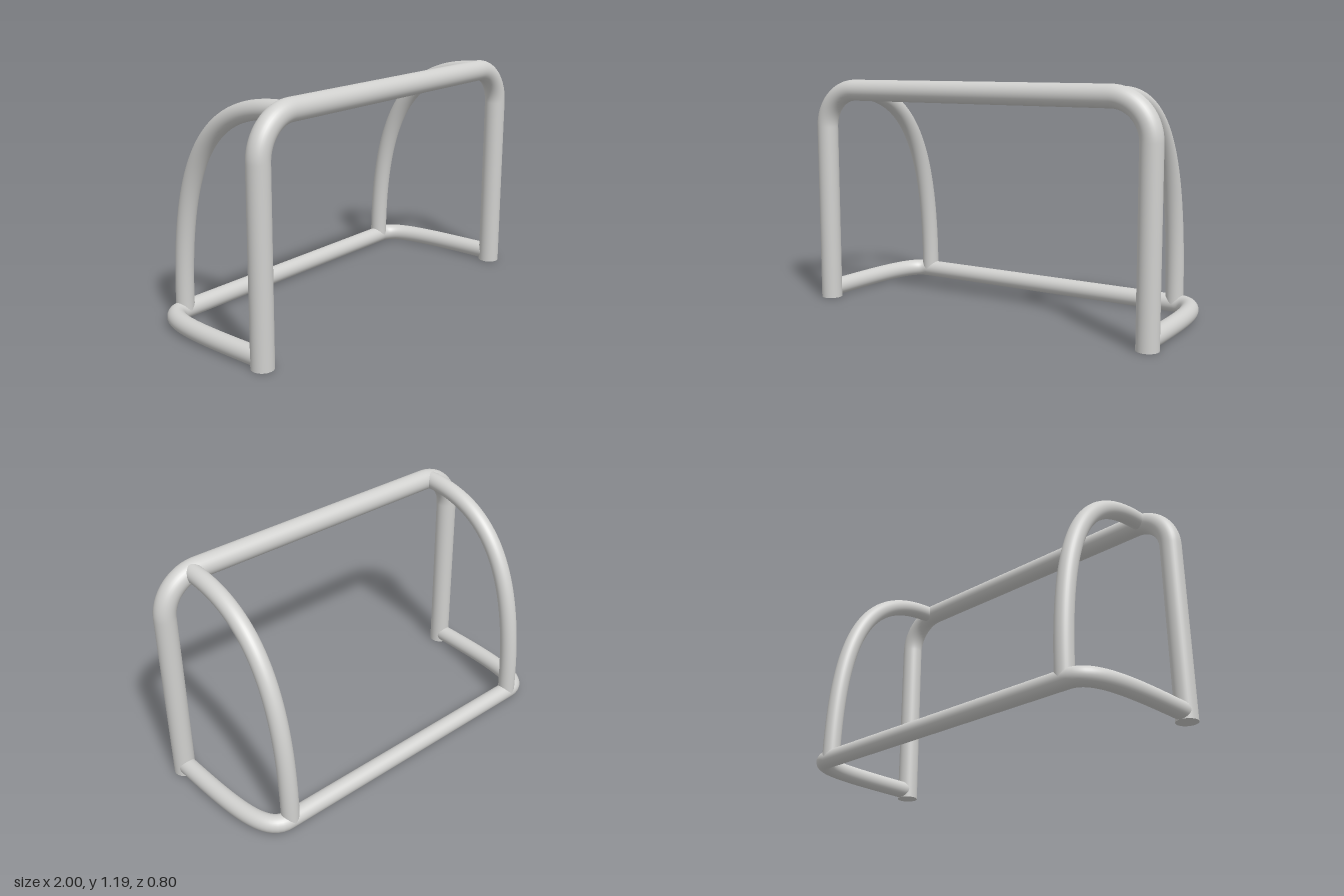
import * as THREE from 'three';

const V = (x, y, z) => new THREE.Vector3(x, y, z);

// Chain of straight and curved pieces: two points make a line, four a Bezier curve
function makePath(pieces) {
  const path = new THREE.CurvePath();
  for (const p of pieces) {
    path.add(p.length === 2 ? new THREE.LineCurve3(...p) : new THREE.CubicBezierCurve3(...p));
  }
  return path;
}

// The same points on the other side, in reverse order
const mirror = (points) => points.map((p) => V(-p.x, p.y, p.z)).reverse();

export function createModel() {
  const model = new THREE.Group();
  const paint = new THREE.MeshStandardMaterial({ color: 0xd0d0ce });
  paint.name = 'light grey paint';

  const add = (name, geometry) => {
    const mesh = new THREE.Mesh(geometry, paint);
    mesh.name = name;
    model.add(mesh);
    return mesh;
  };
  const tube = (name, path, segments, radius) =>
    add(name, new THREE.TubeGeometry(path, segments, radius, 32, false));

  const postX = 0.945, frontZ = 0.342, backZ = -0.352;
  const topY = 1.135, baseY = 0.046, postR = 0.055;

  // Front frame: two posts and the crossbar, bent from one pipe
  const bend = 0.2, k = bend * 0.448;
  const post = [V(-postX, 0, frontZ), V(-postX, topY - bend, frontZ)];
  const corner = [
    post[1], V(-postX, topY - k, frontZ),
    V(-postX + k, topY, frontZ), V(-postX + bend, topY, frontZ),
  ];
  const crossbar = [corner[3], V(postX - bend, topY, frontZ)];
  tube('frontFrame', makePath([post, corner, crossbar, mirror(corner), mirror(post)]), 200, postR);

  // Closed feet of the posts
  for (const side of [-1, 1]) {
    const foot = add(side > 0 ? 'leftPostFoot' : 'rightPostFoot', new THREE.CircleGeometry(postR, 32));
    foot.rotation.x = Math.PI / 2;
    foot.position.set(side * postX, 0, frontZ);
  }

  // Ground bar: curved sides running into the straight back
  const groundSide = [
    V(-postX, baseY, frontZ), V(-postX, baseY, -0.1),
    V(-0.94, baseY, backZ), V(-0.8, baseY, backZ),
  ];
  const groundBack = [groundSide[3], V(0.8, baseY, backZ)];
  tube('groundBar', makePath([groundSide, groundBack, mirror(groundSide)]), 160, 0.046);

  // Curved back stays from the crossbar down to the ground bar
  for (const side of [-1, 1]) {
    const x = side * 0.785;
    const stay = new THREE.CubicBezierCurve3(
      V(x, topY, frontZ), V(x, topY, -0.15), V(x, 0.8, backZ), V(x, baseY, backZ));
    tube(side > 0 ? 'leftBackStay' : 'rightBackStay', stay, 64, 0.046);
  }

  return model;
}
